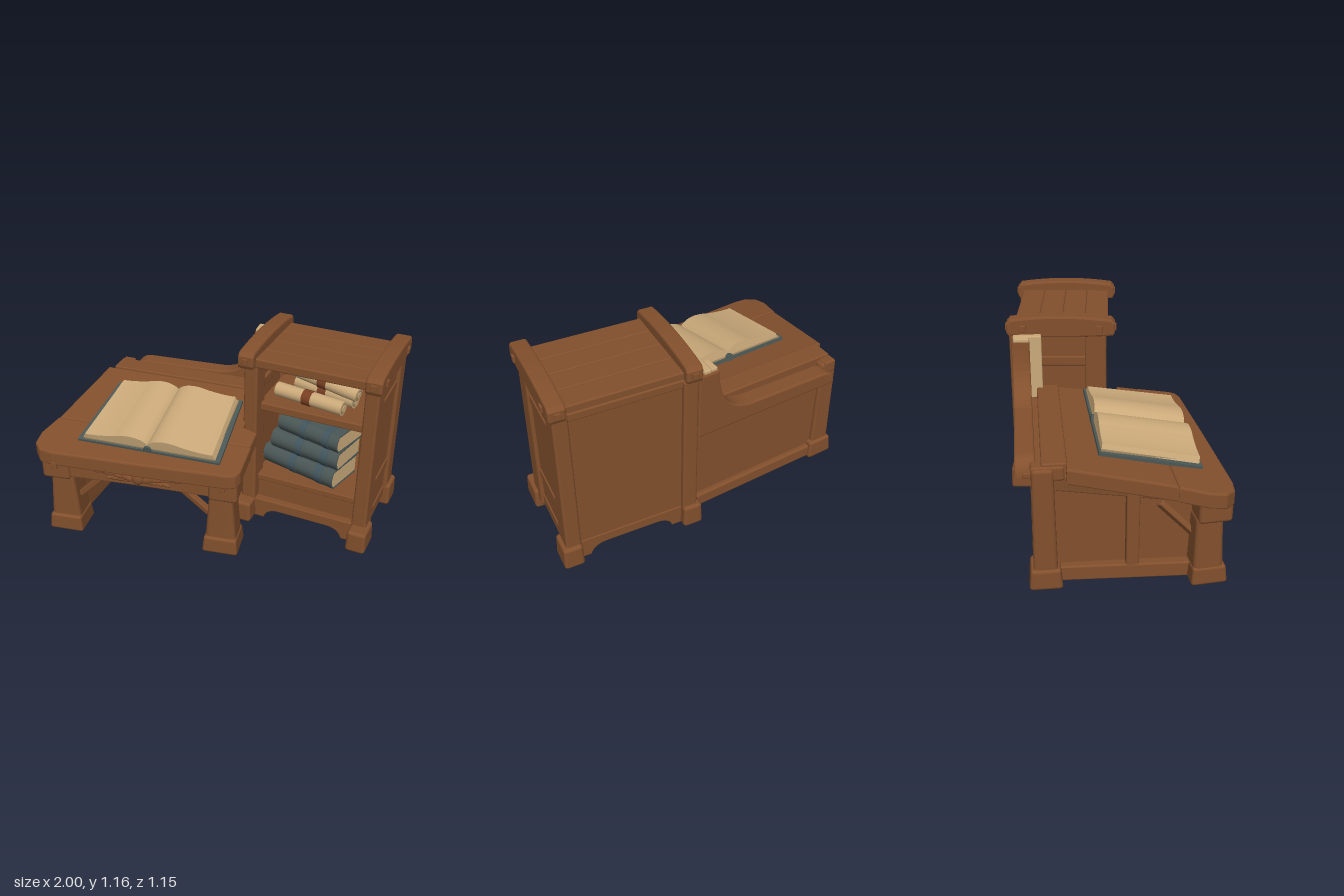
import * as THREE from 'three';
import { RoundedBoxGeometry } from 'three/addons/geometries/RoundedBoxGeometry.js';

const mat = (name, color) => {
  const m = new THREE.MeshStandardMaterial({ color, side: THREE.DoubleSide });
  m.name = name;
  return m;
};

export function createModel() {
  const wood = mat('wood', 0x83502d);
  const paper = mat('paper', 0xcbaa7a);
  const pageEdge = mat('page edge', 0xa38a62);
  const cover = mat('book cover', 0x4b5856);
  const band = mat('book band', 0x43565e);
  const ribbon = mat('ribbon', 0x7a4023);

  const model = new THREE.Group();
  model.name = 'deskAndBookcase';
  const group = (name, parent, x = 0, y = 0, z = 0, ry = 0) => {
    const g = new THREE.Group();
    g.name = name;
    g.position.set(x, y, z);
    g.rotation.y = ry;
    parent.add(g);
    return g;
  };
  const add = (parent, name, geo, m, x = 0, y = 0, z = 0) => {
    const mesh = new THREE.Mesh(geo, m);
    mesh.name = name;
    mesh.position.set(x, y, z);
    parent.add(mesh);
    return mesh;
  };
  // Softly rounded block given by its centre
  const block = (parent, name, w, h, d, x, y, z, m = wood) =>
    add(parent, name, new RoundedBoxGeometry(w, h, d, 2, Math.min(w, h, d) * 0.16), m, x, y, z);
  // Block narrowing toward the top by a factor in x and z, standing on y
  const taper = (parent, name, w, h, d, x, y, z, topX, topZ = topX) => {
    const mesh = block(parent, name, w, h, d, x, y + h / 2, z);
    const p = mesh.geometry.attributes.position;
    for (let i = 0; i < p.count; i++) {
      const t = (p.getY(i) + h / 2) / h;
      p.setX(i, p.getX(i) * THREE.MathUtils.lerp(1, topX, t));
      p.setZ(i, p.getZ(i) * THREE.MathUtils.lerp(1, topZ, t));
    }
    return mesh;
  };
  // Timber running between two points
  const timber = (parent, name, a, b, h, d) => {
    const A = new THREE.Vector3(...a), B = new THREE.Vector3(...b);
    const mesh = block(parent, name, A.distanceTo(B), h, d, 0, 0, 0);
    mesh.position.copy(A).add(B).multiplyScalar(0.5);
    mesh.quaternion.setFromUnitVectors(new THREE.Vector3(1, 0, 0), B.sub(A).normalize());
    return mesh;
  };
  const poly = (pts) => new THREE.Shape(pts.map(([x, y]) => new THREE.Vector2(x, y)));
  const extrude = (shape, depth, bevel = 0) => {
    const g = new THREE.ExtrudeGeometry(shape, {
      depth: depth - 2 * bevel, bevelEnabled: bevel > 0, bevelSize: bevel, bevelThickness: bevel,
      bevelOffset: -bevel, bevelSegments: 2, curveSegments: 12,
    });
    return g.translate(0, 0, bevel - depth / 2);
  };
  // Profile drawn in (z, y), running along x
  const alongX = (shape, length, bevel) => extrude(shape, length, bevel).rotateY(-Math.PI / 2);

  // ---------- Bookcase ----------
  const cab = group('bookcase', model, 0.542, 0, -0.205, -0.105);
  const crown = new THREE.Shape();
  crown.moveTo(-0.31, 1.05);
  crown.quadraticCurveTo(0, 1.03, 0.31, 1.05);
  crown.lineTo(0.32, 1.07);
  crown.lineTo(0.32, 1.125);
  crown.lineTo(0.3, 1.148);
  crown.quadraticCurveTo(0, 1.19, -0.3, 1.148);
  crown.lineTo(-0.32, 1.125);
  crown.lineTo(-0.32, 1.07);
  crown.closePath();
  for (const s of [-1, 1]) {
    const side = s > 0 ? 'left' : 'right';
    add(cab, side + 'CrownBeam', alongX(crown, 0.095, 0.012), wood, s * 0.366);
    for (const z of [-0.222, 0.228]) block(cab, 'crownPeg', 0.03, 0.04, 0.035, s * 0.409, 1.095, z);
    for (const z of [-0.318, 0.318]) block(cab, 'crownEndPeg', 0.035, 0.04, 0.02, s * 0.366, 1.095, z);
    taper(cab, side + 'FrontPost', 0.09, 0.98, 0.14, s * 0.353, 0.08, 0.205, 0.9);
    taper(cab, side + 'BackPost', 0.09, 0.98, 0.13, s * 0.353, 0.08, -0.245, 0.95);
    taper(cab, side + 'FrontFoot', 0.12, 0.135, 0.18, s * 0.364, 0.02, 0.27, 0.93);
    taper(cab, side + 'BackFoot', 0.12, 0.145, 0.16, s * 0.364, 0.02, -0.257, 0.93);
    add(cab, side + 'SidePanel', new THREE.BoxGeometry(0.03, 0.96, 0.4), wood, s * 0.36, 0.57, -0.02);
    for (const [y, h] of [[0.88, 0.06], [0.34, 0.06], [0.125, 0.08]])
      block(cab, side + 'SideRail', 0.055, h, 0.4, s * 0.355, y, -0.02);
  }
  for (let i = 0; i < 4; i++)
    block(cab, 'roofPlank', 0.67, 0.055, 0.141, 0, 1.08, -0.21 + i * 0.14);
  add(cab, 'backPanel', new THREE.BoxGeometry(0.66, 0.95, 0.03), wood, 0, 0.57, -0.265);
  block(cab, 'backTopRail', 0.66, 0.05, 0.05, 0, 1.04, -0.265);
  block(cab, 'upperShelf', 0.66, 0.05, 0.46, 0, 0.765, -0.03);
  block(cab, 'lowerShelf', 0.66, 0.04, 0.48, 0, 0.285, -0.015);
  add(cab, 'bottomBoard', new THREE.BoxGeometry(0.66, 0.03, 0.46), wood, 0, 0.12, -0.02);
  block(cab, 'plinthBoard', 0.66, 0.17, 0.04, 0, 0.19, 0.19);
  const arch = new THREE.Shape();
  arch.moveTo(-0.33, 0.02);
  arch.lineTo(-0.25, 0.02);
  arch.quadraticCurveTo(-0.23, 0.085, -0.15, 0.085);
  arch.lineTo(0.15, 0.085);
  arch.quadraticCurveTo(0.23, 0.085, 0.25, 0.02);
  for (const [x, y] of [[0.33, 0.02], [0.33, 0.15], [-0.33, 0.15]]) arch.lineTo(x, y);
  for (const z of [0.24, -0.26]) add(cab, 'archedSkirt', extrude(arch, 0.05, 0.006), wood, 0, 0, z);

  // Stacked books: wrapped cover, pages and spine bands
  const wrap = (d, h, t) => {
    const s = new THREE.Shape();
    s.moveTo(-d / 2, -t);
    s.lineTo(d / 2 - 0.03, -t);
    s.quadraticCurveTo(d / 2 + 0.03 + 2 * t, h / 2, d / 2 - 0.03, h + t);
    s.lineTo(-d / 2, h + t);
    s.lineTo(-d / 2, h - 0.009);
    s.lineTo(d / 2 - 0.03, h - 0.009);
    s.quadraticCurveTo(d / 2 + 0.008, h / 2, d / 2 - 0.03, 0.009);
    s.lineTo(-d / 2, 0.009);
    s.closePath();
    return s;
  };
  [[0.5, -0.055, 0.308, 0.122, -0.25], [0.46, -0.025, 0.436, 0.117, -0.21], [0.42, 0.0, 0.56, 0.112, -0.27]]
    .forEach(([len, x, y, h, ry]) => {
      const b = group('stackedBook', cab, x, y, 0.02, ry);
      add(b, 'bookCover', alongX(wrap(0.28, h, 0), len), cover);
      add(b, 'bookPages', new THREE.BoxGeometry(len - 0.006, h - 0.018, 0.25), paper, 0, h / 2, -0.01);
      for (const k of [-0.08, 0.3])
        add(b, 'spineBand', alongX(wrap(0.282, h, 0.003), len * 0.1), band, k * len);
    });

  // Rolled scrolls tied with ribbon
  for (const [x, y, z, len, ry, rz] of [[-0.045, 0.837, 0.11, 0.43, -0.16, 0], [0.01, 0.905, 0.0, 0.43, -0.19, -0.1],
    [0.01, 0.835, -0.02, 0.4, -0.25, 0]]) {
    const s = group('scroll', cab, x, y, z, ry);
    s.rotation.z = rz;
    const roll = (name, r, l, m, dx = 0) =>
      add(s, name, new THREE.CylinderGeometry(r, r, l, 20).rotateZ(Math.PI / 2), m, dx);
    roll('scrollSheet', 0.043, len, paper);
    roll('scrollRibbon', 0.047, 0.055, ribbon, -0.01);
    roll('scrollHollow', 0.033, len + 0.006, pageEdge);
    roll('scrollCore', 0.022, len + 0.014, paper);
  }

  // ---------- Desk ----------
  const desk = group('desk', model);
  // Sloping top made of two planks
  const topPlank = (pts) => {
    const g = extrude(poly(pts.map(([x, z]) => [x, -z])), 0.09, 0.01).rotateX(-Math.PI / 2);
    const p = g.attributes.position;
    for (let i = 0; i < p.count; i++) p.setY(i, p.getY(i) + 0.55 + (0.55 - p.getZ(i)) * 0.165);
    g.computeVertexNormals();
    add(desk, 'topPlank', g, wood);
  };
  topPlank([[-0.89, -0.28], [0.13, -0.28], [0.14, 0.07], [0.23, 0.1], [0.23, 0.226], [-0.96, 0.271]]);
  topPlank([[-0.965, 0.271], [-1, 0.42], [-0.99, 0.51], [-0.94, 0.56], [-0.86, 0.57], [-0.3, 0.53],
    [0.18, 0.49], [0.225, 0.47], [0.24, 0.43], [0.235, 0.226]]);

  // Front frame: apron, carved ornament, legs
  const front = group('deskFront', desk, -0.36, 0, 0.45, 0.094);
  const apron = new THREE.Shape();
  apron.moveTo(-0.48, 0.41);
  apron.quadraticCurveTo(0, 0.425, 0.48, 0.41);
  apron.lineTo(0.48, 0.54);
  apron.lineTo(-0.48, 0.54);
  add(front, 'frontApron', extrude(apron, 0.06, 0.008), wood, 0, 0, 0.01);
  for (const s of [-1, 1]) {
    taper(front, 'frontLeg', 0.19, 0.34, 0.165, s * 0.48, 0.08, -0.05, 0.72, 0.88);
    taper(front, 'frontFoot', 0.215, 0.105, 0.2, s * 0.48, 0.02, -0.045, 0.9);
    block(front, 'apronBlock', 0.17, 0.13, 0.18, s * 0.5, 0.465, -0.03);
    block(front, 'apronPeg', 0.035, 0.045, 0.03, s * 0.5, 0.5, 0.06);
    timber(front, 'cornerBrace', [s * 0.4, 0.25, -0.04], [s * 0.23, 0.42, -0.02], 0.035, 0.04);
    for (let i = 0; i < 4; i++) {
      const leaf = add(front, 'carvedLeaf', new THREE.SphereGeometry(1, 12, 8), wood, s * (0.07 + i * 0.05), 0.475 + i * 0.006, 0.042);
      leaf.scale.set(0.05, 0.022 - i * 0.003, 0.014);
      leaf.rotation.z = s * (0.5 - i * 0.22);
      const low = add(front, 'carvedLowerLeaf', leaf.geometry, wood, s * (0.06 + i * 0.035), 0.455, 0.04);
      low.scale.set(0.032, 0.012, 0.012);
      low.rotation.z = s * -0.4;
    }
  }
  add(front, 'carvedBoss', new THREE.SphereGeometry(0.038, 16, 12), wood, 0, 0.475, 0.04).scale.set(1, 1.2, 0.65);

  // Left end: back leg, rails, panel and braces
  taper(desk, 'backLeg', 0.13, 0.66, 0.13, -0.815, 0.06, -0.4, 0.85);
  taper(desk, 'backFoot', 0.18, 0.12, 0.18, -0.81, 0.01, -0.4, 0.88);
  timber(desk, 'endBottomRail', [-0.84, 0.07, 0.42], [-0.81, 0.07, -0.4], 0.09, 0.06);
  timber(desk, 'endTopRail', [-0.84, 0.53, 0.42], [-0.81, 0.64, -0.4], 0.1, 0.06);
  timber(desk, 'endPanel', [-0.805, 0.32, 0.4], [-0.79, 0.32, -0.38], 0.5, 0.02);
  block(desk, 'endStile', 0.06, 0.5, 0.07, -0.825, 0.33, 0.06);
  timber(desk, 'endBrace', [-0.825, 0.26, 0.4], [-0.82, 0.47, 0.2], 0.04, 0.035);
  // Right end beside the bookcase
  timber(desk, 'innerTopRail', [0.12, 0.5, 0.36], [0.1, 0.55, -0.1], 0.1, 0.06);
  timber(desk, 'innerBottomRail', [0.11, 0.07, 0.34], [0.1, 0.07, 0], 0.08, 0.05);
  timber(desk, 'innerBrace', [0.11, 0.2, 0.26], [0.11, 0.42, 0.1], 0.035, 0.035);

  // Back: recessed panel, rails and writing tray
  add(desk, 'backPanel', new THREE.BoxGeometry(0.96, 0.6, 0.03), wood, -0.33, 0.37, -0.42);
  block(desk, 'backBottomRail', 0.96, 0.085, 0.08, -0.33, 0.06, -0.425);
  block(desk, 'trayFloor', 0.95, 0.03, 0.2, -0.33, 0.655, -0.4);
  timber(desk, 'trayBeam', [-0.85, 0.715, -0.34], [0.13, 0.715, -0.335], 0.06, 0.13);
  block(desk, 'trayEnd', 0.08, 0.08, 0.17, -0.82, 0.69, -0.375);
  const sweep = new THREE.Shape();
  sweep.moveTo(-0.79, 0.64);
  sweep.quadraticCurveTo(-0.78, 0.725, -0.7, 0.73);
  sweep.lineTo(-0.18, 0.74);
  sweep.bezierCurveTo(-0.02, 0.76, 0.03, 0.86, 0.045, 1.05);
  sweep.lineTo(0.17, 1.05);
  sweep.lineTo(0.17, 0.64);
  add(desk, 'sweptBackBoard', extrude(sweep, 0.105, 0.01), wood, 0, 0, -0.485);
  block(desk, 'standingPapers', 0.036, 0.08, 0.09, 0.068, 1.028, -0.48, paper);
  block(desk, 'standingPapers', 0.045, 0.39, 0.165, 0.11, 0.875, -0.445, paper);

  // ---------- Open book ----------
  const book = group('openBook', desk, -0.325, 0.682, 0.157);
  book.rotation.set(0.19, 0.02, 0);
  const flare = (g) => { // wider toward the reader
    const p = g.attributes.position;
    for (let i = 0; i < p.count; i++) p.setX(i, p.getX(i) * (1 + p.getZ(i) * 0.13));
    return g;
  };
  add(book, 'openCover', flare(new THREE.BoxGeometry(0.835, 0.018, 0.55)), cover, 0, -0.01, 0);
  add(book, 'openSpine', new THREE.CylinderGeometry(0.025, 0.025, 0.55, 12).rotateX(Math.PI / 2), cover, 0, -0.002, 0);
  for (const s of [-1, 1]) {
    const page = new THREE.Shape();
    page.moveTo(0, 0);
    page.lineTo(0, 0.03);
    page.bezierCurveTo(s * 0.04, 0.075, s * 0.12, 0.078, s * 0.19, 0.055);
    page.quadraticCurveTo(s * 0.3, 0.032, s * 0.375, 0.034);
    page.lineTo(s * 0.39, 0);
    page.closePath();
    add(book, 'pageBlock', flare(extrude(page, 0.52)), paper);
    // Edge lines of the lower pages
    add(book, 'pageEdges', flare(new THREE.BoxGeometry(0.388, 0.01, 0.526)), pageEdge, s * 0.196, 0.003, 0);
  }
  return model;
}
